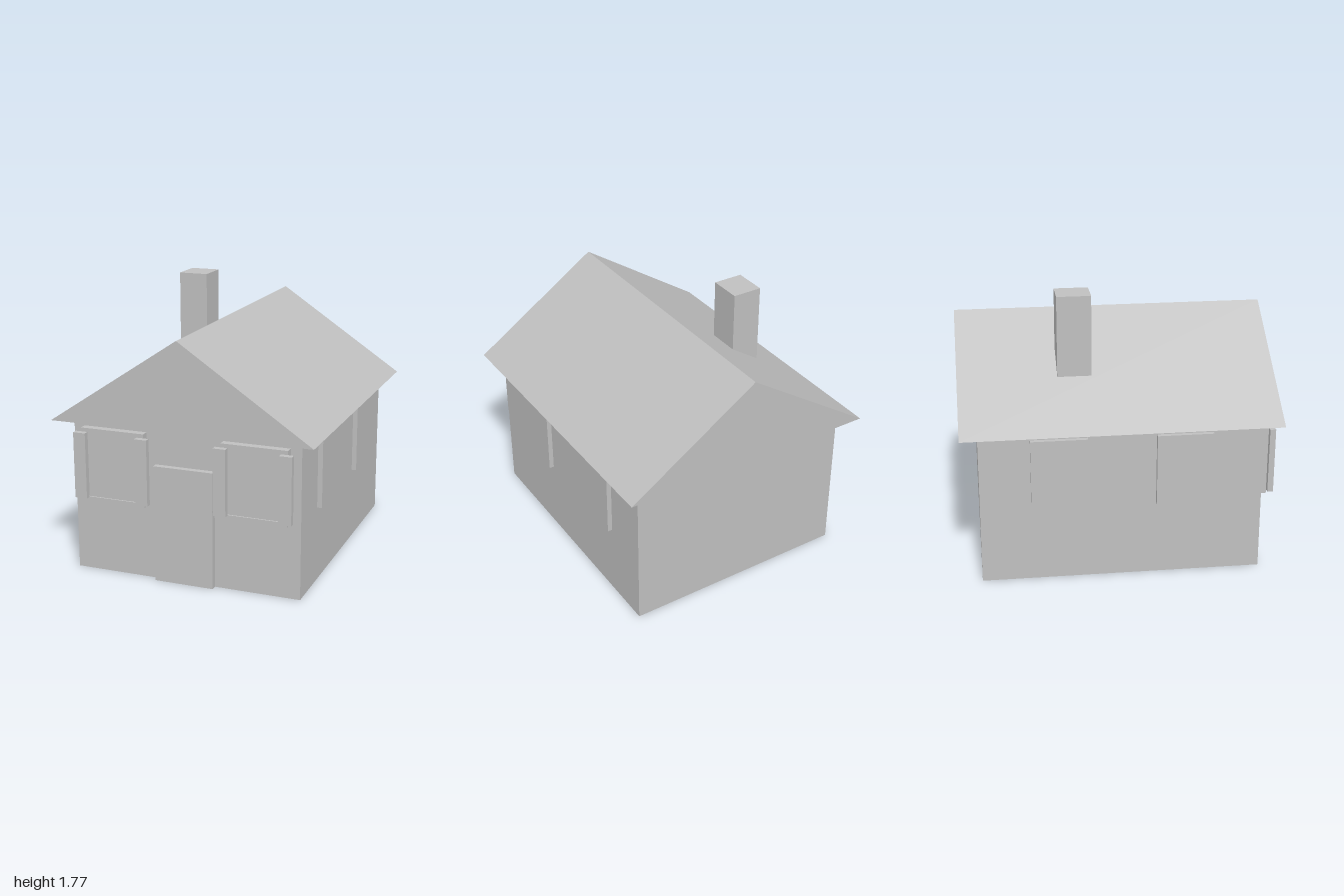
import * as THREE from 'three';

export function createModel() {
  const house = new THREE.Group();
  house.name = 'cottage';
  const grey = new THREE.MeshStandardMaterial({ color: 0xbfbfbf, side: THREE.DoubleSide });
  grey.name = 'plain grey';

  // Box given by its lower and upper corners
  function box(name, [x0, y0, z0], [x1, y1, z1], parent = house) {
    const geometry = new THREE.BoxGeometry(x1 - x0, y1 - y0, z1 - z0);
    const mesh = new THREE.Mesh(geometry, grey);
    mesh.name = name;
    mesh.position.set((x0 + x1) / 2, (y0 + y1) / 2, (z0 + z1) / 2);
    parent.add(mesh);
    return mesh;
  }

  box('walls', [-0.75, 0, -0.89], [0.75, 1, 0.89]);
  box('door', [-0.195, 0, 0.89], [0.195, 0.755, 0.93]);
  box('chimney', [-0.475, 1.2, -0.375], [-0.28, 1.77, -0.16]);

  // Roof shell: two slopes and two gables, open underneath
  const [w, eave, ridge, d] = [0.855, 1, 1.57, 1];
  const [fl, fr, ft] = [[-w, eave, d], [w, eave, d], [0, ridge, d]];
  const [bl, br, bt] = [[-w, eave, -d], [w, eave, -d], [0, ridge, -d]];
  const triangles = [
    fl, fr, ft, br, bl, bt,
    fr, br, bt, fr, bt, ft,
    bl, fl, ft, bl, ft, bt,
  ];
  const roofGeometry = new THREE.BufferGeometry();
  roofGeometry.setAttribute('position', new THREE.Float32BufferAttribute(triangles.flat(), 3));
  roofGeometry.computeVertexNormals();
  const roof = new THREE.Mesh(roofGeometry, grey);
  roof.name = 'roof';
  house.add(roof);

  // Front windows: frame around a slightly sunken pane, with two shutters
  for (const side of [-1, 1]) {
    const front = new THREE.Group();
    front.name = side > 0 ? 'leftFrontWindow' : 'rightFrontWindow';
    front.position.x = side * 0.4665;
    house.add(front);

    const outline = new THREE.Shape();
    outline.moveTo(-0.2125, 0.477).lineTo(0.2125, 0.477).lineTo(0.2125, 0.955).lineTo(-0.2125, 0.955).closePath();
    const opening = new THREE.Path();
    opening.moveTo(-0.185, 0.506).lineTo(-0.185, 0.926).lineTo(0.185, 0.926).lineTo(0.185, 0.506).closePath();
    outline.holes.push(opening);
    const frame = new THREE.Mesh(
      new THREE.ExtrudeGeometry(outline, { depth: 0.05, bevelEnabled: false }), grey);
    frame.name = 'windowFrame';
    frame.position.z = 0.89;
    front.add(frame);

    box('windowPane', [-0.185, 0.506, 0.89], [0.185, 0.926, 0.93], front);
    box('shutter', [-0.249, 0.503, 0.94], [-0.168, 0.93, 0.977], front);
    box('shutter', [0.168, 0.503, 0.94], [0.249, 0.93, 0.977], front);
  }

  // Two plain windows on each side wall
  for (const x of [-0.765, 0.765]) {
    for (const z of [-0.393, 0.393]) {
      box('sideWindow', [x - 0.016, 0.487, z - 0.178], [x + 0.016, 0.95, z + 0.178]);
    }
  }
  return house;
}
